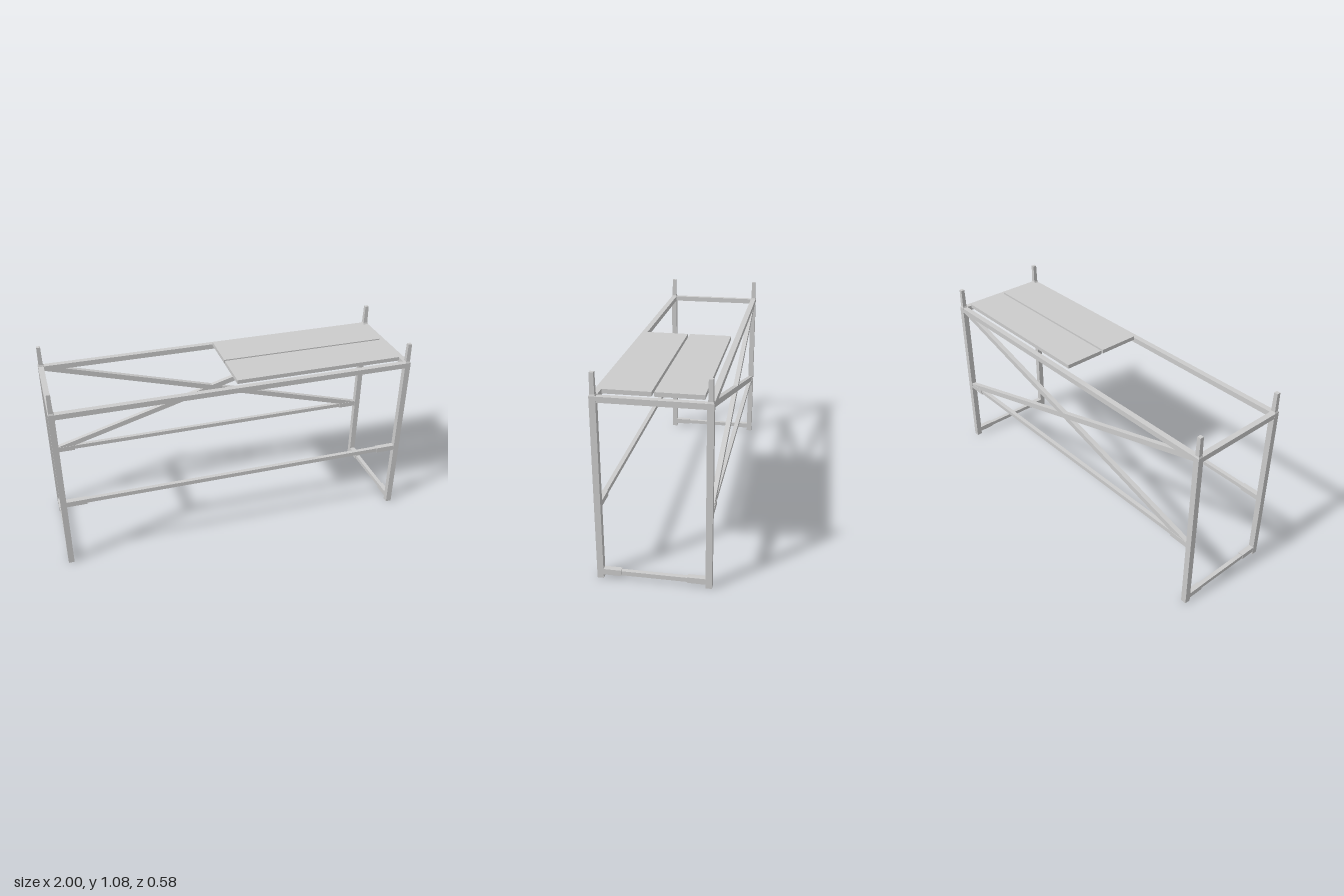
import * as THREE from 'three';

const material = new THREE.MeshStandardMaterial({ color: 0xcccccc, flatShading: true });
const X = 0.984, Z = 0.272; // post centres
const W = 0.032; // post width
const INNER_X = X - W / 2, INNER_Z = Z - W / 2;

export function createModel() {
  const model = new THREE.Group();

  function add(name, geometry, x = 0, y = 0, z = 0) {
    const mesh = new THREE.Mesh(geometry, material);
    mesh.name = name;
    mesh.position.set(x, y, z);
    model.add(mesh);
    return mesh;
  }
  const box = (name, w, h, d, x, y, z) => add(name, new THREE.BoxGeometry(w, h, d), x, y, z);

  // Square post, open at the foot, with a bevelled shoulder and a coupling pin
  const profile = [
    [0, 0.93], [0.012, 0.93], [0.012, 0], [0.016, 0], [0.016, 0.966],
    [0.012, 0.975], [0.0105, 1.08], [0, 1.08],
  ].map(([half, y]) => new THREE.Vector2(half * Math.SQRT2, y));
  const post = new THREE.LatheGeometry(profile, 4, Math.PI / 4);

  for (const sx of [-1, 1]) {
    for (const sz of [-1, 1]) {
      add('post', post, sx * X, 0, sz * Z);
      // Sleeves holding the thinner foot rails and side rails
      box('footSleeve', 0.03, 0.031, 0.09, sx * X, 0.0355, sz * (INNER_Z - 0.045));
      box('sideSleeve', 0.11, 0.03, 0.03, sx * (INNER_X - 0.055), 0.403, sz * Z);
    }
    // End frame rails
    box('endTopRail', 0.03, 0.029, INNER_Z * 2, sx * X, 0.9515, 0);
    box('footRail', 0.023, 0.023, INNER_Z * 2 - 0.17, sx * X, 0.0345, 0);
  }

  // Long rails and deck planks on both sides
  for (const sz of [-1, 1]) {
    box('longTopRail', INNER_X * 2, 0.029, 0.031, 0, 0.9515, sz * Z);
    box('longLowerRail', INNER_X * 2 - 0.21, 0.023, 0.023, 0, 0.4045, sz * Z);
    box('deckPlank', 0.95, 0.022, 0.234, 0.475, 0.976, sz * 0.123);
  }

  // Cross brace at the back, its ends cut level with the rails
  const quarter = [[0.055, 0], [0.968, 0.26], [0.86, 0.26], [0, 0.016]];
  const outline = [
    ...quarter,
    ...quarter.slice(1, 3).reverse().map(([x, y]) => [-x, y]),
    ...quarter.map(([x, y]) => [-x, -y]),
    ...quarter.slice(1, 3).reverse().map(([x, y]) => [x, -y]),
  ].map(([x, y]) => new THREE.Vector2(x, y));
  const brace = new THREE.ExtrudeGeometry(new THREE.Shape(outline), { depth: 0.026, bevelEnabled: false });
  brace.translate(0, 0, -0.013);
  add('crossBrace', brace, 0, 0.677, -Z);

  return model;
}
